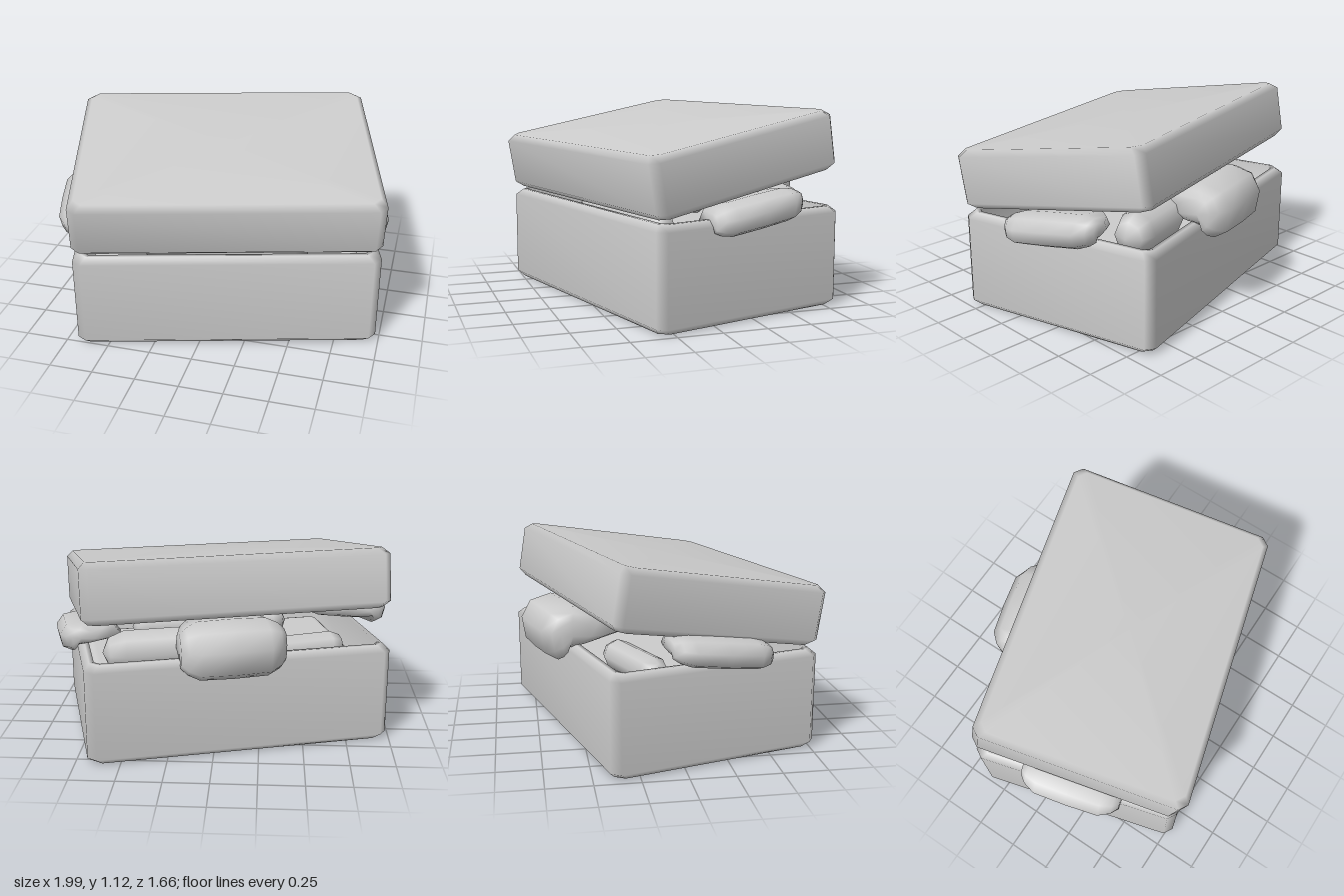
import * as THREE from 'three';
import { RoundedBoxGeometry } from 'three/addons/geometries/RoundedBoxGeometry.js';

const W = 1.72, D = 1.23, WALL = 0.06;
const mat = new THREE.MeshStandardMaterial({ color: 0xcccccc });

// Skin a list of equal-length point rings, closed with a fan at both ends
function loft(rings) {
  const n = rings[0].length, pos = [], idx = [];
  rings.forEach(r => r.forEach(p => pos.push(...p)));
  for (let i = 0; i < rings.length - 1; i++) {
    for (let j = 0; j < n; j++) {
      const a = i * n + j, b = i * n + (j + 1) % n;
      idx.push(a, b, a + n, b, b + n, a + n);
    }
  }
  [0, rings.length - 1].forEach((i, end) => {
    const c = pos.length / 3;
    pos.push(...[0, 1, 2].map(k => rings[i].reduce((s, p) => s + p[k], 0) / n));
    for (let j = 0; j < n; j++) {
      const a = i * n + j, b = i * n + (j + 1) % n;
      idx.push(c, end ? a : b, end ? b : a);
    }
  });
  const g = new THREE.BufferGeometry();
  g.setAttribute('position', new THREE.Float32BufferAttribute(pos, 3));
  g.setIndex(idx);
  g.computeVertexNormals();
  return g;
}

// Rectangle with cut corners at height y, pulled in by inset
function rectRing(inset, y, cut) {
  const x = W / 2 - inset, z = D / 2 - inset;
  return [[x, z - cut], [x, cut - z], [x - cut, -z], [cut - x, -z],
    [-x, cut - z], [-x, z - cut], [cut - x, z], [x - cut, z]].map(([a, b]) => [a, y, b]);
}

// Hollow, open-topped tray with bevelled edges
function tray(h) {
  const b = 0.035, c = 0.045;
  return loft([
    rectRing(b, 0, c), rectRing(0, b, c),
    rectRing(0, h - b, c), rectRing(b, h, c),
    rectRing(WALL, h, 0.03), rectRing(WALL, WALL, 0.03),
  ]);
}

// Lump of cloth hanging over a wall: length along x, outward along +z
function drapedCloth(outScale, yScale, yMid, slope) {
  const profile = [[-0.25, -0.02], [-0.2, 0.06], [-0.03, 0.09], [0.06, 0.07],
    [0.1, 0.01], [0.085, -0.07], [0.03, -0.1], [0.0, -0.06], [-0.1, -0.05]];
  const stations = [[-1, 0.35], [-0.88, 0.7], [-0.65, 1], [0, 1.04],
    [0.65, 1], [0.88, 0.7], [1, 0.35]];
  return loft(stations.map(([t, s]) => {
    const x = t * 0.29;
    return profile.map(([o, y]) =>
      [x, yMid + y * yScale * (0.35 + 0.65 * s) + slope * x, o * s * outScale]);
  }));
}

export function createModel() {
  const model = new THREE.Group();
  const chest = new THREE.Group();
  chest.name = 'openBox';
  chest.rotation.y = 0.267;
  chest.position.z = -0.03;
  model.add(chest);

  const add = (name, geo, x = 0, y = 0, z = 0, ry = 0) => {
    const m = new THREE.Mesh(geo, mat);
    m.name = name;
    m.position.set(x, y, z);
    m.rotation.y = ry;
    chest.add(m);
    return m;
  };

  // Base
  add('boxBase', tray(0.57));

  // Lid: upturned tray, hinged up about its lower front edge
  const lidH = 0.335;
  const lidGeo = tray(lidH).rotateX(Math.PI).translate(0, lidH, -D / 2);
  add('lid', lidGeo, 0, 0.583, D / 2 - 0.005).rotation.x = 0.17;

  // Cloth spilling over three walls
  add('leftCloth', drapedCloth(1, 0.9, 0.595, 0.13), W / 2, 0, 0, Math.PI / 2);
  add('rightCloth', drapedCloth(1.2, 0.85, 0.635, -0.15), -W / 2, 0, 0, -Math.PI / 2);
  add('backCloth', drapedCloth(1.4, 1.6, 0.63, 0), 0.06, 0, -D / 2, Math.PI);

  // Folded stack and rolled pieces inside
  add('foldedStack', new RoundedBoxGeometry(1.56, 0.36, 1.06, 2, 0.05), 0, 0.24, 0);
  const roll = (name, r, len, x, y, z, ry) => {
    const g = new THREE.CapsuleGeometry(r, len, 2, 8).rotateZ(Math.PI / 2);
    add(name, g, x, y, z, ry);
  };
  roll('backRoll', 0.12, 0.3, 0.47, 0.57, -0.38, 0);
  roll('sideRoll', 0.09, 0.4, -0.4, 0.48, -0.3, 0.1);
  roll('frontRoll', 0.09, 0.8, 0.0, 0.48, 0.3, -0.05);

  return model;
}
